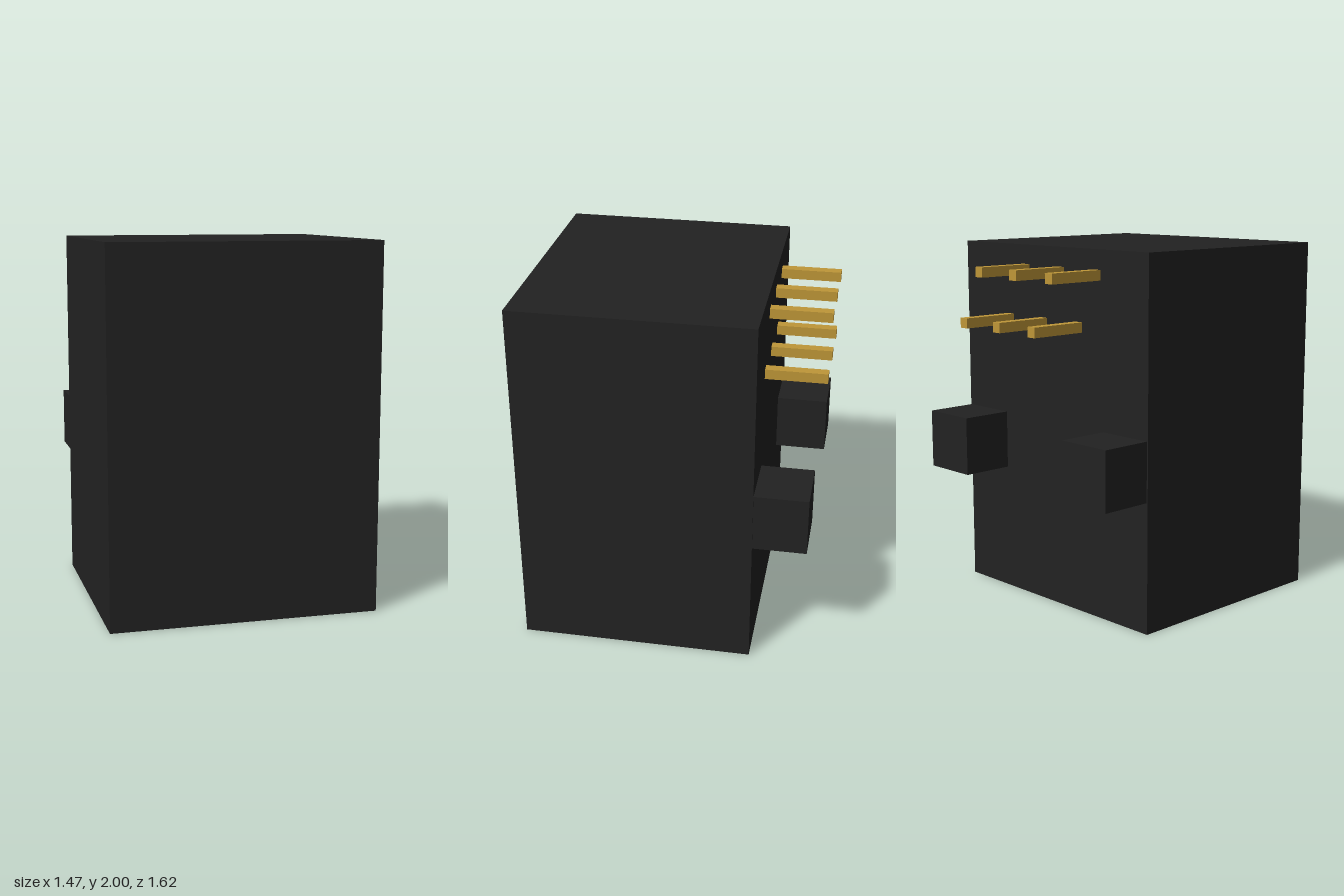
import * as THREE from 'three';

const black = new THREE.MeshStandardMaterial({ name: 'black plastic', color: 0x222222 });
const gold = new THREE.MeshStandardMaterial({ name: 'gold metal', color: 0xbf9738 });

// Box given by its centre in x and y, and its extent in z
function block(name, material, x, y, width, height, zMin, zMax) {
  const mesh = new THREE.Mesh(new THREE.BoxGeometry(width, height, zMax - zMin), material);
  mesh.position.set(x, y, (zMin + zMax) / 2);
  mesh.name = name;
  return mesh;
}

// Rectangle on the plan, with shape y standing for -z
function rectangle(PathType, halfWidth, zMin, zMax) {
  return new PathType([
    [-halfWidth, -zMax], [halfWidth, -zMax], [halfWidth, -zMin], [-halfWidth, -zMin],
  ].map(([x, y]) => new THREE.Vector2(x, y)));
}

export function createModel() {
  const model = new THREE.Group();
  model.name = 'pinHeader';

  const halfWidth = 0.733, back = -0.478, front = 0.81;
  const cavityHeight = 1.4;

  // Housing walls around the socket, open at the bottom
  const plan = rectangle(THREE.Shape, halfWidth, back, front);
  plan.holes.push(rectangle(THREE.Path, 0.54, -0.295, 0.455));
  const walls = new THREE.ExtrudeGeometry(plan, { depth: cavityHeight, bevelEnabled: false });
  walls.rotateX(-Math.PI / 2);
  const housing = new THREE.Mesh(walls, black);
  housing.name = 'housingWalls';
  model.add(housing);

  // Solid upper part of the housing, closing the socket
  model.add(block('housingTop', black, 0, (cavityHeight + 2) / 2,
    halfWidth * 2, 2 - cavityHeight, back, front));

  // Locating pegs on the back
  for (const side of [-1, 1]) {
    model.add(block(side > 0 ? 'leftPeg' : 'rightPeg', black,
      side * 0.563, 0.878, 0.325, 0.325, -0.77, back));
  }

  // Two staggered rows of three contact pins
  const pins = new THREE.Group();
  pins.name = 'contactPins';
  for (let i = 0; i < 6; i++) {
    const y = i % 2 === 0 ? 1.867 : 1.583;
    pins.add(block('contactPin', gold, -0.355 + i * 0.141, y, 0.055, 0.055, -0.81, back));
  }
  model.add(pins);

  return model;
}
